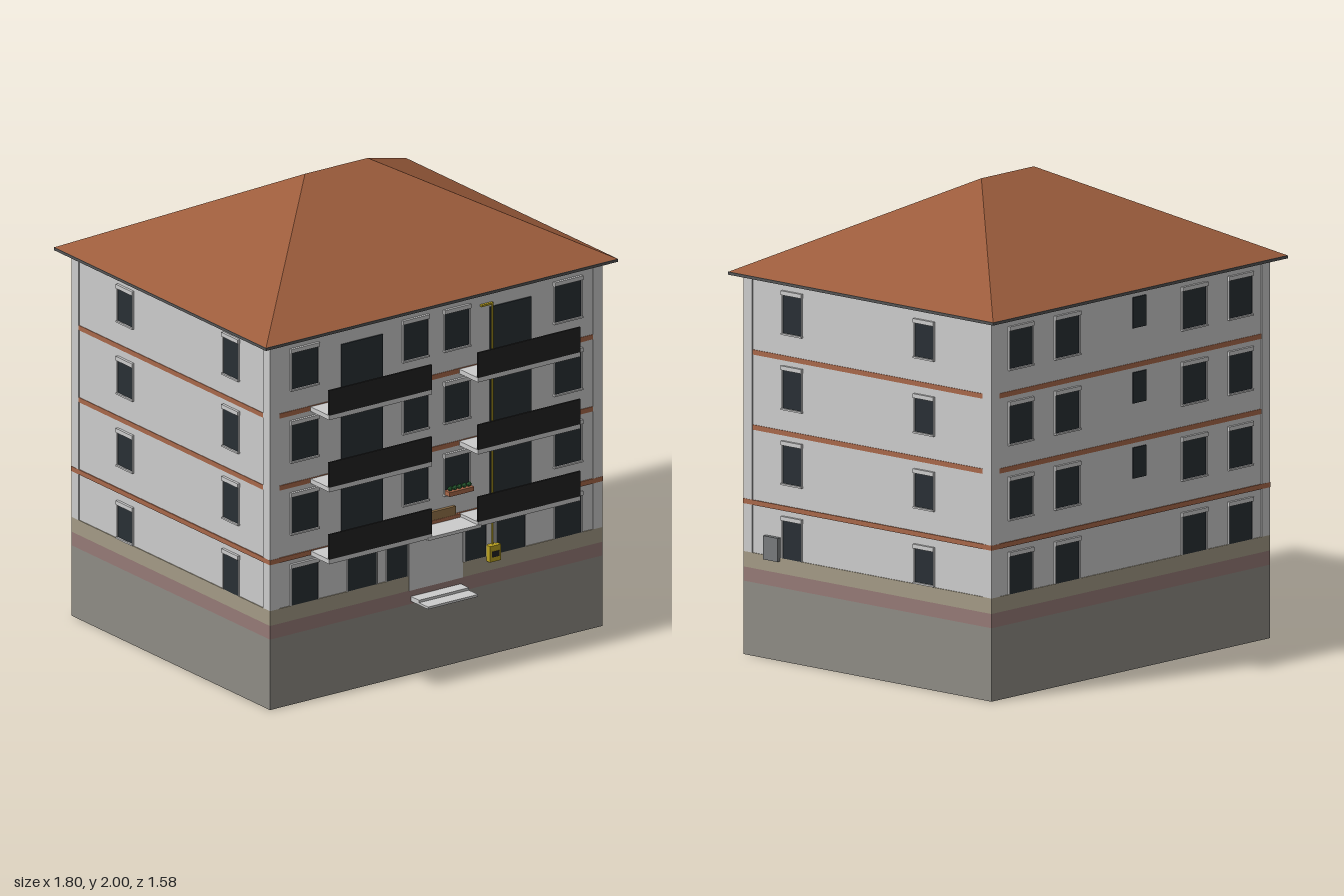
import * as THREE from 'three';

const mat = (color) => new THREE.MeshStandardMaterial({ color, flatShading: true });
const M = {
  grey: mat(0xcccccc), base: mat(0x8e8b84), red: mat(0x957a76), tan: mat(0xa39a85),
  brick: mat(0xa8684a), roof: mat(0x9c5c3c), glass: mat(0x282f34), rail: mat(0x222222),
  dark: mat(0x777a7c), eave: mat(0x555555), yellow: mat(0xb8a020), wood: mat(0x94744a), leaf: mat(0x2f6a3a),
};

// Box given by its limits on each axis
function box(parent, name, m, x0, x1, y0, y1, z0, z1) {
  const mesh = new THREE.Mesh(new THREE.BoxGeometry(x1 - x0, y1 - y0, z1 - z0), m);
  mesh.position.set((x0 + x1) / 2, (y0 + y1) / 2, (z0 + z1) / 2);
  mesh.name = name;
  parent.add(mesh);
  return mesh;
}

// Dark pane with jambs, lintel and sill, on a facade whose wall plane is local z = 0
function windowUnit(facade, u0, u1, y0, y1, sill = true) {
  const g = new THREE.Group();
  g.name = 'window';
  box(g, 'pane', M.glass, u0, u1, y0, y1, -0.01, 0.004);
  box(g, 'lintel', M.grey, u0 - 0.005, u1 + 0.005, y1, y1 + 0.018, -0.01, 0.012);
  if (sill) box(g, 'sill', M.grey, u0 - 0.005, u1 + 0.005, y0 - 0.007, y0, -0.01, 0.012);
  for (const u of [u0 - 0.004, u1]) box(g, 'jamb', M.grey, u, u + 0.004, y0, y1, -0.01, 0.007);
  facade.add(g);
}

// Hipped roof: eaves rectangle rising to a short ridge
function roofGeometry(x, zf, zb, y, ridgeX, ridgeZ, top) {
  const a = [-x, y, zf], b = [x, y, zf], c = [x, y, zb], d = [-x, y, zb];
  const l = [-ridgeX, top, ridgeZ], r = [ridgeX, top, ridgeZ];
  const tris = [a, b, r, a, r, l, b, c, r, c, d, l, c, l, r, d, a, l];
  const geo = new THREE.BufferGeometry();
  geo.setAttribute('position', new THREE.Float32BufferAttribute(tris.flat(), 3));
  geo.computeVertexNormals();
  return geo;
}

export function createModel() {
  const model = new THREE.Group();
  model.name = 'apartmentBuilding';
  const X = 0.85, F = 0.655, B = -0.735, inset = 0.004, floors = [0.64, 0.957, 1.274];

  // Plinth layers and walls
  box(model, 'basement', M.base, -X, X, 0, 0.31, B, F);
  box(model, 'redCourse', M.red, -X, X, 0.31, 0.37, B, F);
  box(model, 'tanCourse', M.tan, -X, X, 0.37, 0.435, B, F);
  box(model, 'walls', M.grey, -X + inset, X - inset, 0.435, 1.605, B + inset, F - inset);

  // Corner pilasters
  for (const [x0, x1] of [[-X, -X + 0.05], [X - 0.05, X]])
    for (const [z0, z1] of [[B, B + 0.05], [F - 0.05, F]])
      box(model, 'cornerPilaster', M.grey, x0, x1, 0.435, 1.605, z0, z1);

  // Floor bands
  floors.forEach((y, i) => {
    const e = i ? -0.001 : 0.001;
    box(model, 'floorBand', M.brick, -X - e, X + e, y - 0.003, y + 0.018, B - e, F + e);
  });

  // Roof
  box(model, 'eaves', M.eave, -0.9, 0.9, 1.603, 1.615, -0.79, 0.695);
  const roof = new THREE.Mesh(roofGeometry(0.898, 0.693, -0.788, 1.6155, 0.16, -0.045, 2), M.roof);
  roof.name = 'hippedRoof';
  model.add(roof);

  // Facades, each with local z pointing out of the wall
  const facade = (name, x, z, turn) => {
    const g = new THREE.Group();
    g.name = name;
    g.position.set(x, 0, z);
    g.rotation.y = turn;
    model.add(g);
    return g;
  };
  const front = facade('frontFacade', 0, F - inset, 0);
  const back = facade('backFacade', 0, B + inset, Math.PI);
  const sides = [facade('leftFacade', X - inset, 0, Math.PI / 2), facade('rightFacade', -X + inset, 0, -Math.PI / 2)];

  // Front openings
  for (const [u0, u1] of [[0.605, 0.74], [0.305, 0.453], [0.147, 0.253]]) {
    windowUnit(front, u0, u1, 0.435, 0.6, false);
    windowUnit(front, -u1, -u0, 0.435, 0.6, false);
  }
  for (const y of floors) {
    for (const [u0, u1] of [[0.605, 0.74], [0.043, 0.168]]) {
      windowUnit(front, u0, u1, y + 0.113, y + 0.274);
      windowUnit(front, -u1, -u0, y + 0.113, y + 0.274);
    }
    for (const s of [-1, 1])
      box(front, 'balconyDoor', M.glass, s * 0.38 - 0.105, s * 0.38 + 0.105, y + 0.015, y + 0.255, -0.01, 0.006);
  }

  // Back openings, with small stair windows on the upper floors
  for (const y of [0.322, ...floors]) {
    const ground = y < 0.5;
    for (const [u0, u1] of [[0.6, 0.74], [0.315, 0.46]]) {
      windowUnit(back, u0, u1, y + 0.113, y + 0.274, !ground);
      windowUnit(back, -u1, -u0, y + 0.113, y + 0.274, !ground);
    }
    if (!ground) box(back, 'stairWindow', M.glass, 0.015, 0.095, y + 0.165, y + 0.295, -0.01, 0.006);
    // Side openings: positions in z turned into facade coordinates
    sides.forEach((side, i) => {
      const s = i ? 1 : -1;
      for (const [z, y0, y1] of [[0.382, 0.113, 0.274], [-0.358, 0.122, 0.264]])
        windowUnit(side, s * z - 0.052, s * z + 0.052, y + y0, y + y1, !ground || z < 0);
    });
  }

  // Balconies: slab and front parapet panel
  for (const y of floors)
    for (const s of [-1, 1]) {
      const g = new THREE.Group();
      g.name = 'balcony';
      const c = s * 0.38;
      box(g, 'balconySlab', M.grey, c - 0.262, c + 0.262, y - 0.005, y + 0.015, F - 0.01, 0.785);
      box(g, 'balconyRailing', M.rail, c - 0.262, c + 0.262, y + 0.015, y + 0.125, 0.777, 0.786);
      model.add(g);
    }

  // Entrance: panel, canopy with a plain board, and steps
  box(model, 'entrancePanel', M.grey, -0.14, 0.135, 0.37, 0.635, F - 0.02, F + 0.003);
  box(model, 'entranceCanopy', M.grey, -0.14, 0.135, 0.628, 0.642, F - 0.01, 0.787);
  box(model, 'canopyUpstand', M.brick, -0.12, 0.115, 0.642, 0.657, F - 0.01, F + 0.012);
  box(model, 'canopyBoard', M.wood, -0.098, 0.092, 0.655, 0.695, F - 0.01, F + 0.01);
  box(model, 'lowerStep', M.grey, -0.13, 0.125, 0.322, 0.332, F - 0.01, 0.775);
  box(model, 'upperStep', M.grey, -0.13, 0.125, 0.332, 0.343, F - 0.01, 0.712);

  // Yellow gas meter with riser and branches
  box(model, 'gasMeter', M.yellow, 0.255, 0.312, 0.415, 0.485, F - 0.005, 0.68);
  box(model, 'meterDial', M.rail, 0.265, 0.302, 0.435, 0.46, 0.675, 0.682);
  const riser = new THREE.Mesh(new THREE.CylinderGeometry(0.004, 0.004, 1.065, 8), M.yellow);
  riser.position.set(0.284, 1.0125, 0.66);
  riser.name = 'gasRiser';
  model.add(riser);
  for (const y of [0.915, 1.23, 1.545])
    box(model, 'gasBranch', M.yellow, 0.226, 0.286, y - 0.004, y + 0.004, F - 0.003, 0.664);

  // Flower box under one first-floor window
  box(model, 'flowerBox', M.brick, 0.042, 0.168, 0.753, 0.772, F - 0.01, 0.69);
  for (let i = 0; i < 5; i++) {
    const plant = new THREE.Mesh(new THREE.IcosahedronGeometry(0.012, 0), M.leaf);
    plant.position.set(0.057 + i * 0.024, 0.782, 0.674);
    plant.name = 'plant';
    model.add(plant);
  }

  // Utility cabinet on the side wall
  box(model, 'utilityCabinet', M.dark, X - 0.01, 0.866, 0.42, 0.52, 0.45, 0.53);
  return model;
}
